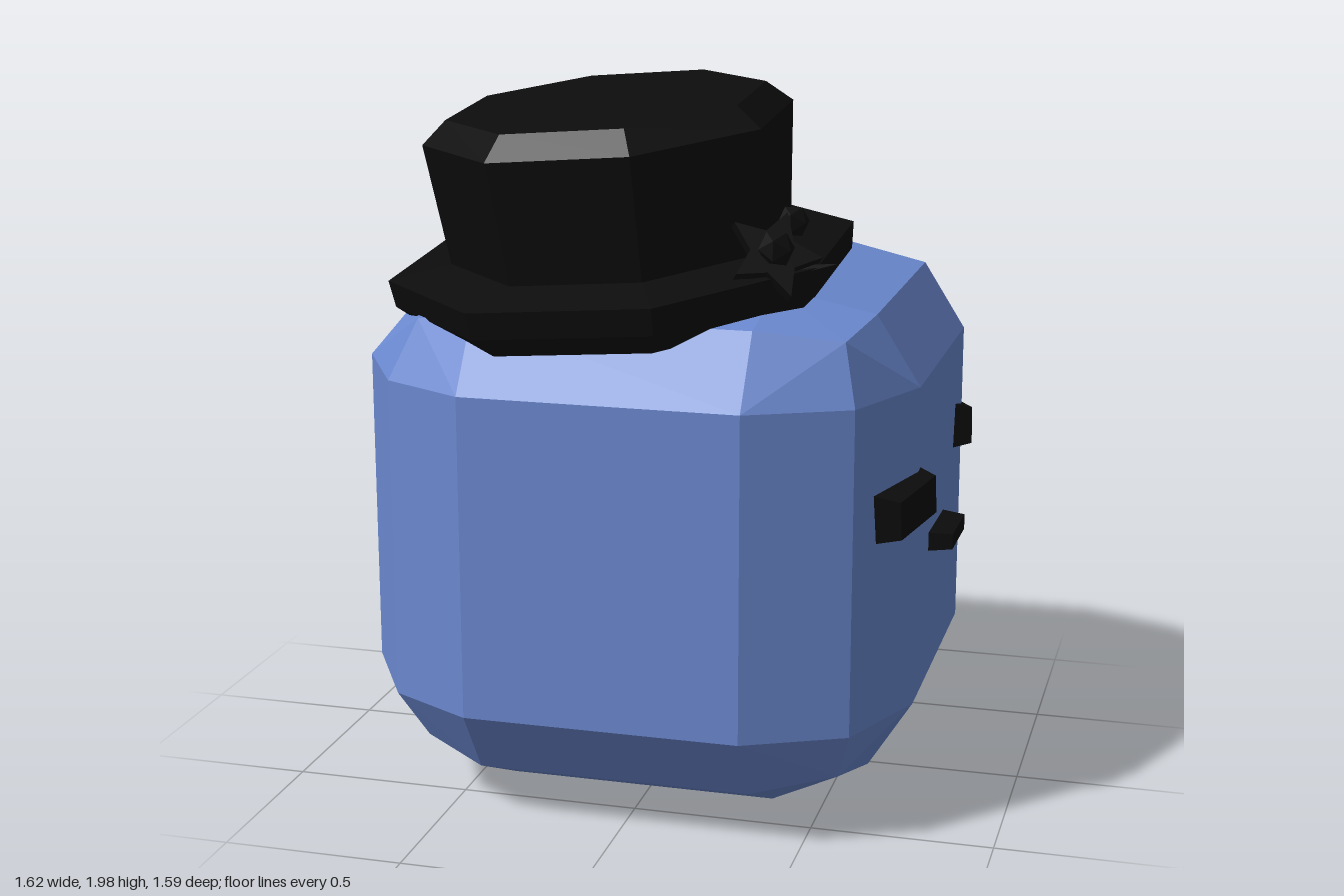
import * as THREE from 'three';
import { ConvexGeometry } from 'three/addons/geometries/ConvexGeometry.js';

const skyBlue = new THREE.MeshStandardMaterial({ color: 0x6b89d0 });
const black = new THREE.MeshStandardMaterial({ color: 0x0c0c0c });

// Gives every face its own normal
function faceted(geometry) {
  const flat = geometry.index ? geometry.toNonIndexed() : geometry;
  flat.computeVertexNormals();
  return flat;
}

function part(name, geometry, material) {
  const mesh = new THREE.Mesh(faceted(geometry), material);
  mesh.name = name;
  return mesh;
}

// Cube with two-step bevels: each axis has flat, middle and outer stops
function bodyGeometry() {
  const xs = [{ r: -0.405, c: -0.58, m: -0.645, o: -0.81 }, { r: 0.355, c: 0.585, m: 0.625, o: 0.745 }];
  const ys = [{ r: 0.325, c: 0.185, m: 0.135, o: 0 }, { r: 1.215, c: 1.375, m: 1.405, o: 1.46 }];
  const zs = [{ r: -0.445, c: -0.58, m: -0.645, o: -0.8 }, { r: 0.335, c: 0.56, m: 0.625, o: 0.755 }];
  const points = [];
  for (const x of xs) for (const y of ys) for (const z of zs) {
    points.push(
      new THREE.Vector3(x.o, y.r, z.r), new THREE.Vector3(x.r, y.o, z.r), new THREE.Vector3(x.r, y.r, z.o),
      new THREE.Vector3(x.m, y.m, z.r), new THREE.Vector3(x.m, y.r, z.m), new THREE.Vector3(x.r, y.m, z.m),
      new THREE.Vector3(x.c, y.c, z.c)
    );
  }
  // Raised back corner of the top
  points.push(new THREE.Vector3(-0.405, 1.525, -0.5), new THREE.Vector3(0.1, 1.515, -0.5));
  return new ConvexGeometry(points);
}

// Eight-sided turned form with flats facing the axes; radii are to the flats
function octagonLathe(profile) {
  const k = 1 / Math.cos(Math.PI / 8);
  const points = profile.map(([r, y]) => new THREE.Vector2(r * k, y));
  return new THREE.LatheGeometry(points, 8, Math.PI / 8);
}

// Block that narrows towards its outer +x face
function taperedBlock(depth, height, width) {
  const geometry = new THREE.BoxGeometry(depth, height, width);
  const p = geometry.attributes.position;
  for (let i = 0; i < p.count; i++) {
    if (p.getX(i) > 0) p.setXYZ(i, p.getX(i), p.getY(i) * 0.78, p.getZ(i) * 0.85);
  }
  return geometry;
}

// Five-petal star outline
function flowerGeometry(outer, inner, depth) {
  const shape = new THREE.Shape();
  for (let i = 0; i < 10; i++) {
    const a = (i / 10) * Math.PI * 2;
    const r = i % 2 ? inner : outer;
    if (i) shape.lineTo(r * Math.cos(a), r * Math.sin(a));
    else shape.moveTo(r, 0);
  }
  shape.closePath();
  return new THREE.ExtrudeGeometry(shape, { depth, bevelEnabled: false });
}

function createHat() {
  const hat = new THREE.Group();
  hat.name = 'hat';
  hat.add(part('hatBrim', octagonLathe([[0, -0.14], [0.52, -0.14], [0.59, -0.075], [0.6, 0], [0.44, 0.025], [0, 0.025]]), black));
  hat.add(part('hatCrown', octagonLathe([[0, 0], [0.435, 0], [0.47, 0.36], [0.405, 0.42], [0, 0.42]]), black));
  hat.position.set(-0.115, 1.515, 0.19);
  hat.rotation.set(0.085, 0, 0.08);
  return hat;
}

function createFlower() {
  const flower = new THREE.Group();
  flower.name = 'hatFlower';
  const petals = part('flowerPetals', flowerGeometry(0.13, 0.065, 0.03), black);
  petals.rotation.set(-0.75, 0.45, 0.2);
  const heart = part('flowerHeart', new THREE.IcosahedronGeometry(0.05, 0), black);
  heart.position.set(0.02, 0.03, 0.03);
  const bud = part('flowerBud', new THREE.IcosahedronGeometry(0.045, 0), black);
  bud.position.set(0.01, 0.06, -0.22);
  const leaf = part('flowerLeaf', new THREE.ConeGeometry(0.05, 0.17, 4), black);
  leaf.scale.z = 0.4;
  leaf.rotation.set(-1.3, 0, -1.2);
  leaf.position.set(0.08, -0.03, -0.04);
  flower.add(petals, heart, bud, leaf);
  flower.position.set(0.37, 1.57, 0.48);
  return flower;
}

export function createModel() {
  const model = new THREE.Group();
  model.name = 'hattedCube';
  model.add(part('body', bodyGeometry(), skyBlue));
  model.add(createHat(), createFlower());

  // Eyes wrap around the bevels of the +x side
  for (const [name, z, roll, yaw] of [['frontEye', 0.42, 0.11, -0.28], ['backEye', -0.425, -0.17, 0.28]]) {
    const eye = part(name, taperedBlock(0.07, 0.135, 0.25), black);
    eye.position.set(0.73, z > 0 ? 0.912 : 0.93, z);
    eye.rotation.set(roll, yaw, 0, 'YXZ');
    model.add(eye);
  }

  const mouth = part('mouth', taperedBlock(0.08, 0.055, 0.265), black);
  mouth.position.set(0.77, 0.722, 0);
  mouth.rotation.x = -0.03;
  model.add(mouth);
  return model;
}
